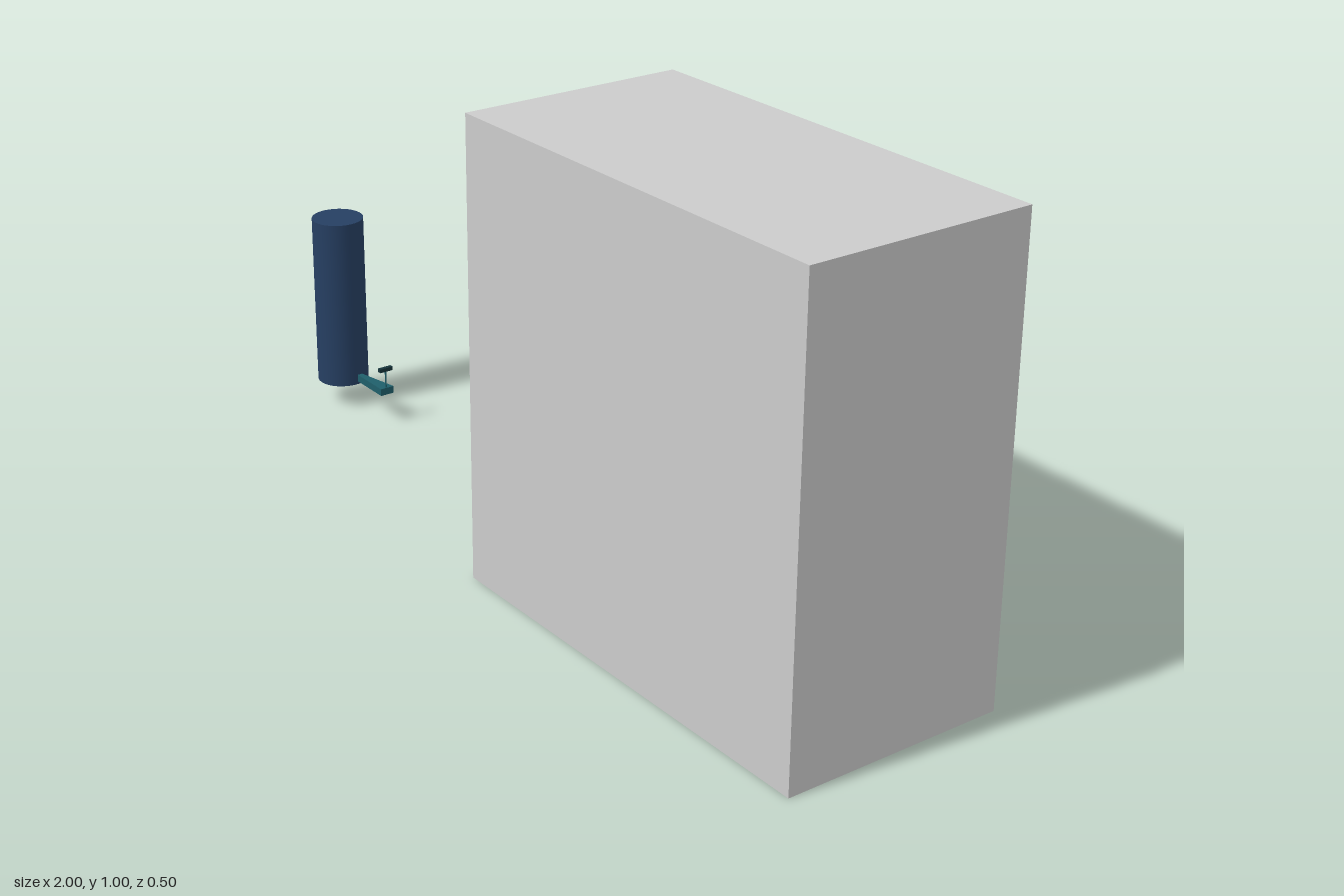
import * as THREE from 'three';

const grey = new THREE.MeshStandardMaterial({ color: 0xcccccc, side: THREE.DoubleSide });
const navy = new THREE.MeshStandardMaterial({ color: 0x263f62 });
const teal = new THREE.MeshStandardMaterial({ color: 0x1f5f6b });
const dark = new THREE.MeshStandardMaterial({ color: 0x16333a });

function add(parent, name, geometry, material, x, y, z) {
  const mesh = new THREE.Mesh(geometry, material);
  mesh.name = name;
  mesh.position.set(x, y, z);
  parent.add(mesh);
  return mesh;
}

// Thin-walled cabinet, open at the back, with one shelf against the front panel
function createCabinet() {
  const cabinet = new THREE.Group();
  cabinet.name = 'cabinet';
  add(cabinet, 'frontPanel', new THREE.PlaneGeometry(1, 1), grey, 0.5, 0.5, 0.25);
  for (const [side, x] of [['right', 0], ['left', 1]]) {
    add(cabinet, side + 'Panel', new THREE.PlaneGeometry(0.5, 1), grey, x, 0.5, 0)
      .rotation.y = x ? Math.PI / 2 : -Math.PI / 2;
  }
  for (const [name, y] of [['bottomPanel', 0], ['topPanel', 1]]) {
    add(cabinet, name, new THREE.PlaneGeometry(1, 0.5), grey, 0.5, y, 0)
      .rotation.x = y ? -Math.PI / 2 : Math.PI / 2;
  }
  add(cabinet, 'shelf', new THREE.BoxGeometry(0.998, 0.05, 0.29), grey, 0.5, 0.475, 0.104);
  return cabinet;
}

// Small lever: a bar widening toward its end, with a post and a crosspiece
function createLever() {
  const lever = new THREE.Group();
  lever.name = 'lever';
  const plan = new THREE.Shape([
    new THREE.Vector2(-0.865, -0.004),
    new THREE.Vector2(-0.76, -0.004),
    new THREE.Vector2(-0.76, 0.03),
    new THREE.Vector2(-0.865, 0.008),
  ]);
  const bar = new THREE.ExtrudeGeometry(plan, { depth: 0.017, bevelEnabled: false });
  bar.rotateX(-Math.PI / 2);
  add(lever, 'leverBar', bar, teal, 0, 0.07, 0);
  add(lever, 'leverPost', new THREE.CylinderGeometry(0.002, 0.002, 0.046, 8), teal, -0.764, 0.109, -0.012);
  add(lever, 'leverCrosspiece', new THREE.BoxGeometry(0.01, 0.009, 0.034), dark, -0.766, 0.132, -0.013);
  return lever;
}

export function createModel() {
  const model = new THREE.Group();
  model.name = 'cabinetAndCylinder';
  model.add(createCabinet());
  // Free-standing cylinder, raised slightly off the floor
  add(model, 'cylinder', new THREE.CylinderGeometry(0.06, 0.06, 0.405, 32), navy, -0.94, 0.258, 0);
  model.add(createLever());
  return model;
}
